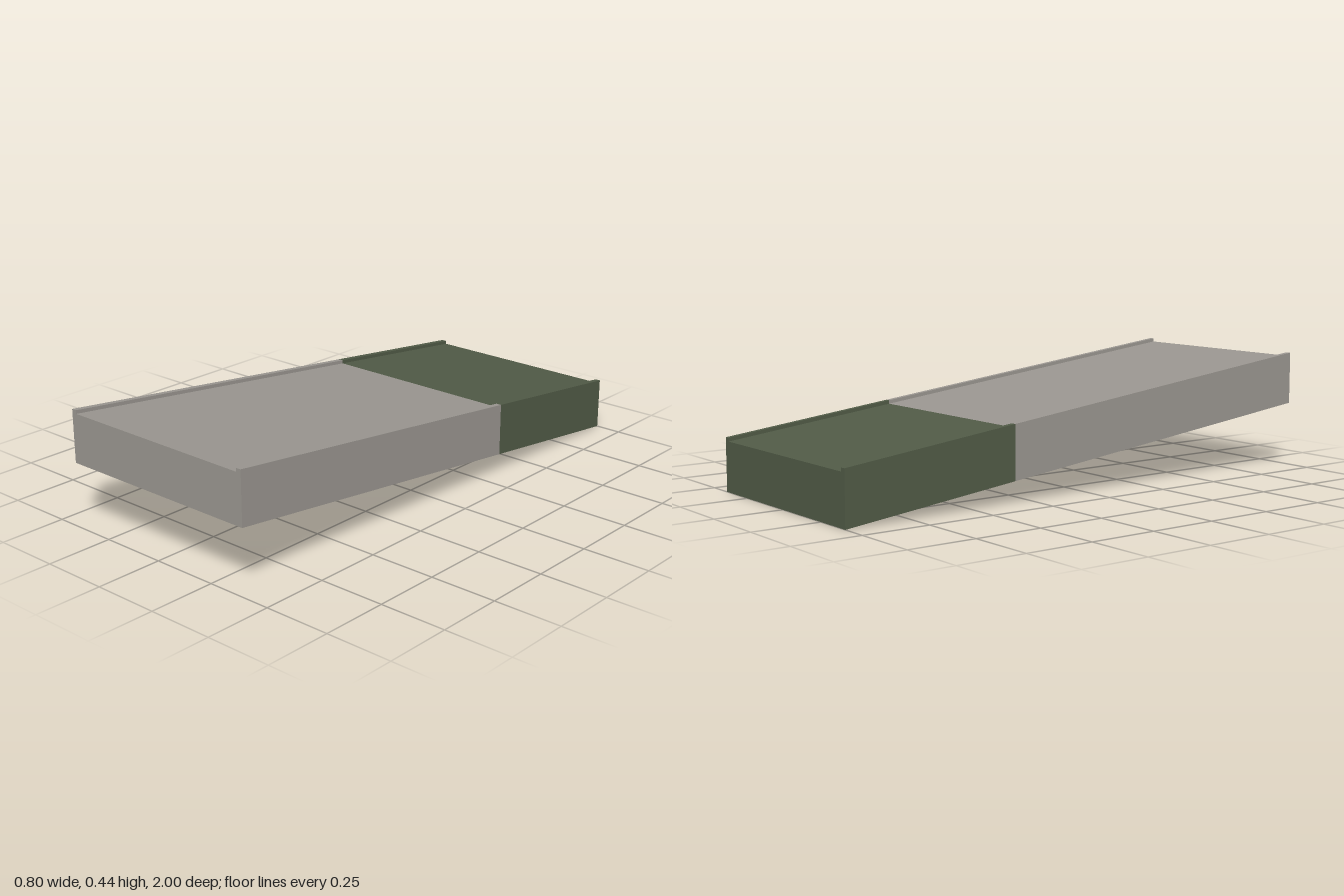
import * as THREE from 'three';

const SLOPE = 0.12;   // rise per unit of z
const HALF = 0.4;     // half the width
const WALL = 0.02;    // thickness of side walls and end panels
const RAIL = 0.195;   // height of side walls
const DECK = 0.182;   // height of deck surface
const UNDER = 0.1525; // height of deck underside

// Tilt a part by shearing it: vertical faces stay vertical
function shear(geometry) {
  const g = geometry.index ? geometry.toNonIndexed() : geometry;
  const p = g.attributes.position;
  for (let i = 0; i < p.count; i++) p.setY(i, p.getY(i) + SLOPE * (p.getZ(i) + 1));
  g.computeVertexNormals();
  return g;
}

// Deck with both side walls, as one channel cross-section
function channel(z0, z1) {
  const inner = HALF - WALL;
  const half = [[inner, UNDER], [inner, 0], [HALF, 0], [HALF, RAIL], [inner, RAIL], [inner, DECK]];
  const mirrored = half.map(([x, y]) => [-x, y]).reverse();
  const shape = new THREE.Shape([...half, ...mirrored].map(([x, y]) => new THREE.Vector2(x, y)));
  const g = new THREE.ExtrudeGeometry(shape, { depth: z1 - z0, bevelEnabled: false });
  return shear(g.translate(0, 0, z0));
}

// Panel closing one end below the deck
function endPanel(z) {
  const g = new THREE.BoxGeometry(2 * (HALF - WALL), DECK, WALL);
  return shear(g.translate(0, DECK / 2, z));
}

export function createModel() {
  const model = new THREE.Group();
  model.name = 'ramp';

  const grey = new THREE.MeshStandardMaterial({ color: 0x99958f });
  grey.name = 'warm grey';
  const green = new THREE.MeshStandardMaterial({ color: 0x505a46 });
  green.name = 'dark olive green';

  const add = (name, geometry, material) => {
    const mesh = new THREE.Mesh(geometry, material);
    mesh.name = name;
    model.add(mesh);
  };

  const split = -1 / 3; // where the colour changes
  add('upperRamp', channel(split, 1), grey);
  add('lowerRamp', channel(-1, split), green);
  add('frontPanel', endPanel(1 - WALL / 2), grey);
  add('backPanel', endPanel(-1 + WALL / 2), green);
  return model;
}
